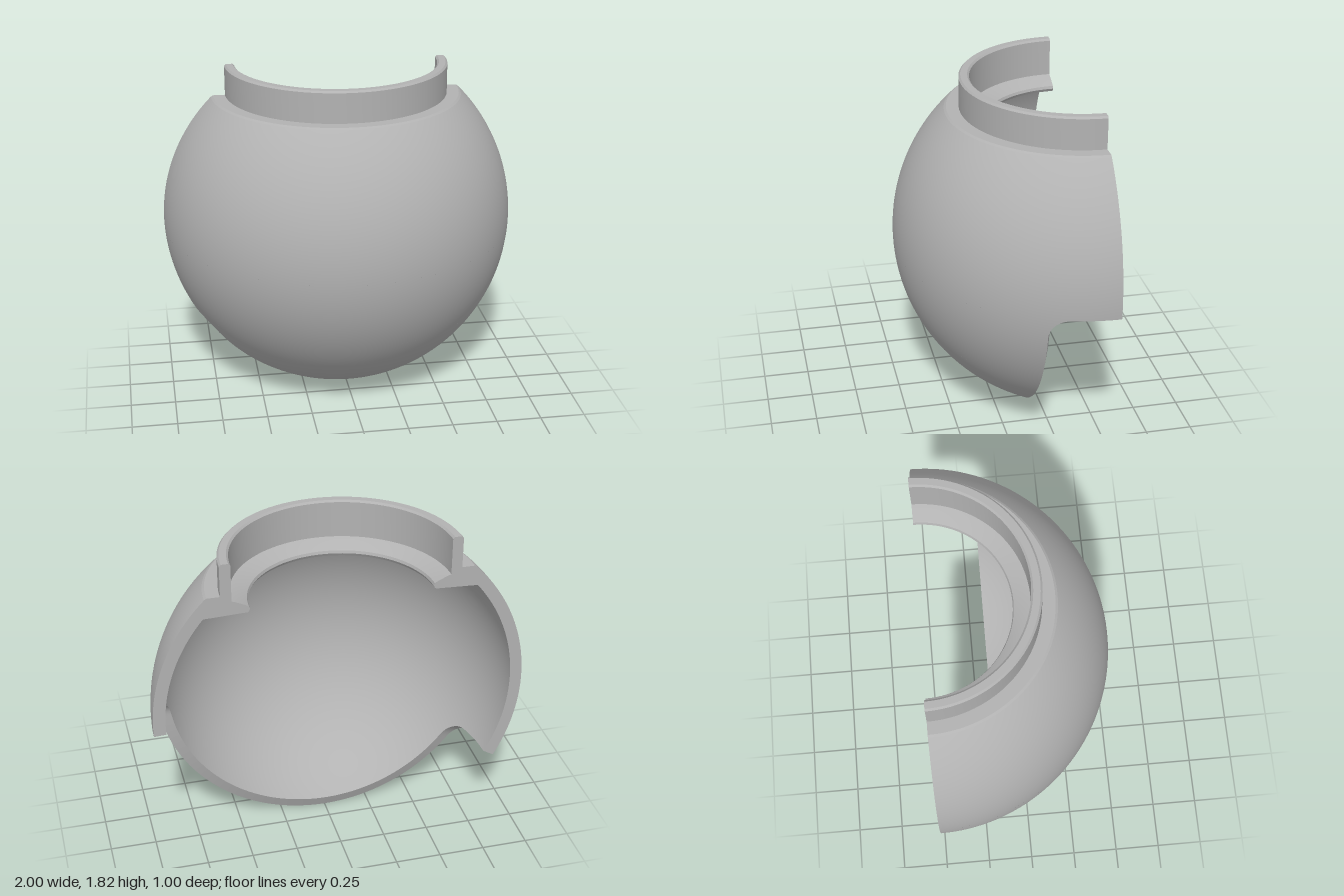
import * as THREE from 'three';
import { toCreasedNormals } from 'three/addons/utils/BufferGeometryUtils.js';

const CY = 0.933, R_OUT = 1, R_IN = 0.935; // sphere centre height and shell radii
const CUT = 0.36, STEP = 0.25, FILLET = 0.11; // lower cut depth, start and radius of notch fillet
const LAT_TOP = Math.PI / 4, LAT_IN = 0.697; // upper ends of the outer and inner skins
const NOTCH_L = -0.055, NOTCH_R = -0.514; // latitudes of the notches at +x and -x
const COLS = 96;

// Surface through rows of points; the rows run upward, front side = row x column
function gridGeometry(rows) {
  const n = rows[0].length, pos = [], index = [];
  rows.forEach((row) => row.forEach((p) => pos.push(p.x, p.y, p.z)));
  for (let i = 0; i < rows.length - 1; i++) {
    for (let j = 0; j < n - 1; j++) {
      const a = i * n + j, b = a + n;
      index.push(a, b, a + 1, b, b + 1, a + 1);
    }
  }
  const g = new THREE.BufferGeometry();
  g.setAttribute('position', new THREE.Float32BufferAttribute(pos, 3));
  g.setIndex(index);
  return g;
}

// Smooth spherical normals, pointing out (1) or in (-1)
function sphereNormals(g, sign) {
  const p = g.attributes.position, out = [], v = new THREE.Vector3();
  for (let i = 0; i < p.count; i++) {
    v.fromBufferAttribute(p, i).normalize().multiplyScalar(sign);
    out.push(v.x, v.y, v.z);
  }
  g.setAttribute('normal', new THREE.Float32BufferAttribute(out, 3));
  return g;
}

// Rear limit of the shell at a latitude, below or above a rounded notch
function rearLimit(lat, notch) {
  if (lat > notch + 1e-6) return 0;
  const d = lat - (notch - FILLET);
  return d <= 0 ? CUT : STEP + Math.sqrt(Math.max(0, FILLET * FILLET - d * d));
}

// Rows of the shell: latitude and the rear limits on the two sides
function shellRows() {
  const rows = [];
  const span = (from, to, count, ease) => {
    for (let i = 0; i < count; i++) {
      const lat = from + (to - from) * ease(i / count);
      rows.push({ lat, l: rearLimit(lat, NOTCH_L), r: rearLimit(lat, NOTCH_R) });
    }
  };
  const linear = (t) => t, easeIn = (t) => t * t, easeOut = (t) => Math.sin(t * Math.PI / 2);
  const jump = (lat, side) => {
    for (let i = 0; i <= 4; i++) {
      const row = { lat, l: rearLimit(lat, NOTCH_L), r: rearLimit(lat, NOTCH_R) };
      row[side] = STEP * (1 - i / 4);
      rows.push(row);
    }
  };
  span(-Math.acos(CUT), NOTCH_R - FILLET, 28, easeIn);
  span(NOTCH_R - FILLET, NOTCH_R, 8, easeOut);
  jump(NOTCH_R, 'r');
  span(NOTCH_R + 0.01, NOTCH_L - FILLET, 12, linear);
  span(NOTCH_L - FILLET, NOTCH_L, 8, easeOut);
  jump(NOTCH_L, 'l');
  span(NOTCH_L + 0.01, LAT_IN, 22, linear);
  span(LAT_IN, LAT_TOP, 3, linear);
  rows.push({ lat: LAT_TOP, l: 0, r: 0 });
  return rows;
}

function skin(rows, radius, maxLat) {
  return rows.map(({ lat, l, r }) => {
    const c = Math.cos(lat);
    const start = Math.asin(Math.min(1, l / c));
    const end = Math.PI - Math.asin(Math.min(1, r / c));
    const la = Math.min(lat, maxLat), cl = Math.cos(la);
    return Array.from({ length: COLS + 1 }, (_, j) => {
      const phi = start + (end - start) * j / COLS;
      return new THREE.Vector3(cl * Math.cos(phi), Math.sin(la), cl * Math.sin(phi)).multiplyScalar(radius);
    });
  });
}

export function createModel() {
  const model = new THREE.Group();
  model.name = 'halfShell';
  const grey = new THREE.MeshStandardMaterial({ color: 0xb2b2b2 });
  grey.name = 'grey';
  const body = new THREE.Group();
  body.name = 'body';
  body.position.set(0, CY, -0.5);
  model.add(body);
  const add = (name, geometry) => {
    const mesh = new THREE.Mesh(geometry, grey);
    mesh.name = name;
    body.add(mesh);
  };

  // Spherical shell: outer skin, inner skin and the radial cut edges
  const rows = shellRows();
  const outer = skin(rows, R_OUT, LAT_TOP), inner = skin(rows, R_IN, LAT_IN);
  add('outerShell', sphereNormals(gridGeometry(outer), 1));
  add('innerShell', sphereNormals(gridGeometry(inner.map((row) => [...row].reverse())), -1));
  add('leftCutEdge', toCreasedNormals(gridGeometry(outer.map((row, i) => [inner[i][0], row[0]])), 0.6));
  add('rightCutEdge', toCreasedNormals(gridGeometry(outer.map((row, i) => [row[COLS], inner[i][COLS]])), 0.6));

  // Neck collar with shoulder and sloping inner ledge
  const profile = [
    [Math.cos(LAT_TOP), CY + Math.sin(LAT_TOP)], [0.695, 1.648], [0.627, 1.648],
    [0.627, 1.815], [0.617, 1.825], [0.58, 1.825], [0.57, 1.815],
    [0.57, 1.615], [0.55, 1.608], [0.5, 1.585], [0.483, 1.575], [0.478, 1.56], [0.488, 1.543],
    [R_IN * Math.cos(LAT_IN), CY + R_IN * Math.sin(LAT_IN)],
  ].map(([r, y]) => new THREE.Vector2(r, y - CY));
  add('neckCollar', toCreasedNormals(new THREE.LatheGeometry(profile, COLS, -Math.PI / 2, Math.PI), 0.5));

  // Flat section faces of the collar
  for (const [name, side] of [['leftCollarSection', -1], ['rightCollarSection', 1]]) {
    const shape = new THREE.Shape(profile.map((p) => new THREE.Vector2(side * p.x, p.y)));
    add(name, new THREE.ShapeGeometry(shape).rotateY(Math.PI));
  }
  return model;
}
